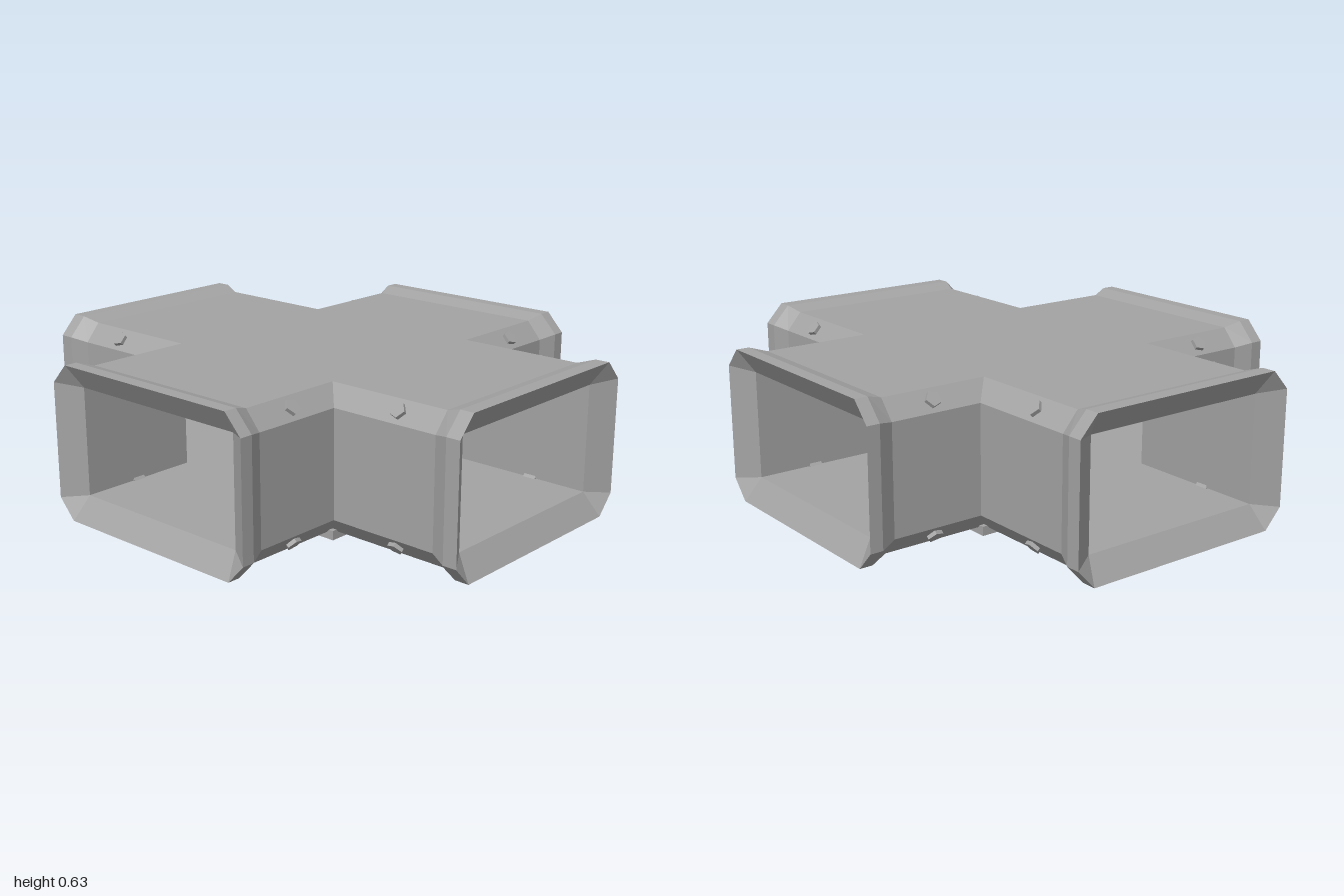
import * as THREE from 'three';

const Y0 = 0.06, Y1 = 0.61, SIDE = 0.445, FLAT = 0.385; // duct section
const IN_W = 0.38, IN_Y0 = 0.13, IN_Y1 = 0.54;          // clear opening

// Chamfered rectangle, counterclockwise: half width w, flat half width f
function octagon(w, f, y0, y1, s0, s1) {
  return [[w, s0], [w, s1], [f, y1], [-f, y1], [-w, s1], [-w, s0], [-f, y0], [f, y0]];
}

// Hollow arm along +z: mitred root, flared collar, sloping lip and inner walls
function armGeometry(flareStart, flareEnd, end) {
  const body = octagon(SIDE, FLAT, Y0, Y1, 0.13, 0.54);
  const collar = octagon(0.475, 0.405, 0.04, 0.63, 0.115, 0.555);
  const opening = octagon(IN_W, IN_W, IN_Y0, IN_Y1, IN_Y0, IN_Y1);
  const at = (pts, z) => pts.map(([x, y]) => new THREE.Vector3(x, y, z));
  const rings = [
    body.map(([x, y]) => new THREE.Vector3(x, y, Math.abs(x))),
    at(body, flareStart), at(collar, flareEnd), at(collar, end),
    at(opening, end - 0.06), at(opening, IN_W),
  ];
  const pos = [];
  const tri = (a, b, c) => {
    if (a.equals(b) || b.equals(c) || a.equals(c)) return;
    for (const p of [a, b, c]) pos.push(p.x, p.y, p.z);
  };
  for (let i = 0; i < rings.length - 1; i++) {
    for (let j = 0; j < 8; j++) {
      const k = (j + 1) % 8;
      const [a, b, c, d] = [rings[i][j], rings[i][k], rings[i + 1][k], rings[i + 1][j]];
      tri(a, b, c);
      tri(a, c, d);
    }
  }
  const g = new THREE.BufferGeometry();
  g.setAttribute('position', new THREE.Float32BufferAttribute(pos, 3));
  g.computeVertexNormals();
  return g;
}

export function createModel() {
  const model = new THREE.Group();
  model.name = 'ductJunction';
  const metal = new THREE.MeshStandardMaterial({ color: 0xa3a3a3 });
  metal.name = 'grey metal';

  const add = (parent, geometry, name, x = 0, y = 0, z = 0) => {
    const mesh = new THREE.Mesh(geometry, metal);
    mesh.name = name;
    mesh.position.set(x, y, z);
    parent.add(mesh);
    return mesh;
  };
  const box = (name, w, h, d, x, y, z) =>
    add(model, new THREE.BoxGeometry(w, h, d), name, x, y, z);

  // Four arms with bolts through their chamfers
  const longArm = armGeometry(0.88, 0.945, 1);
  const shortArm = armGeometry(0.805, 0.87, 0.92);
  const boltGeometry = new THREE.CylinderGeometry(0.03, 0.03, 0.07, 5).toNonIndexed();
  boltGeometry.computeVertexNormals();
  const up = new THREE.Vector3(0, 1, 0);
  ['front', 'left', 'back', 'right'].forEach((side, i) => {
    const arm = new THREE.Group();
    arm.name = side + 'Arm';
    arm.rotation.y = i * Math.PI / 2;
    model.add(arm);
    add(arm, i % 2 ? shortArm : longArm, side + 'Duct');
    for (const sx of [-1, 1]) {
      for (const sy of [-1, 1]) {
        const out = new THREE.Vector3(sx * 0.7, sy * 0.65, 0).normalize();
        const bolt = add(arm, boltGeometry, 'bolt',
          sx * 0.4, 0.335 + sy * 0.225, i % 2 ? 0.625 : 0.705);
        bolt.quaternion.setFromUnitVectors(up, out);
      }
    }
  });

  // Roof and floor of the crossing
  box('crossingRoof', FLAT * 2, Y1 - IN_Y1, FLAT * 2, 0, (Y1 + IN_Y1) / 2, 0);
  box('crossingFloor', FLAT * 2, IN_Y0 - Y0, FLAT * 2, 0, (Y0 + IN_Y0) / 2, 0);

  // Raised square rim and mounting block underneath
  const square = (path, r) => path.moveTo(-r, -r).lineTo(r, -r).lineTo(r, r).lineTo(-r, r).closePath();
  const rim = square(new THREE.Shape(), 0.413);
  rim.holes.push(square(new THREE.Path(), 0.385));
  const rimGeometry = new THREE.ExtrudeGeometry(rim, { depth: 0.035, bevelEnabled: false });
  add(model, rimGeometry, 'bottomRim', 0, 0.07, 0).rotation.x = Math.PI / 2;
  box('mountingBlock', 0.39, 0.08, 0.37, 0.007, 0.04, 0.015);

  return model;
}
